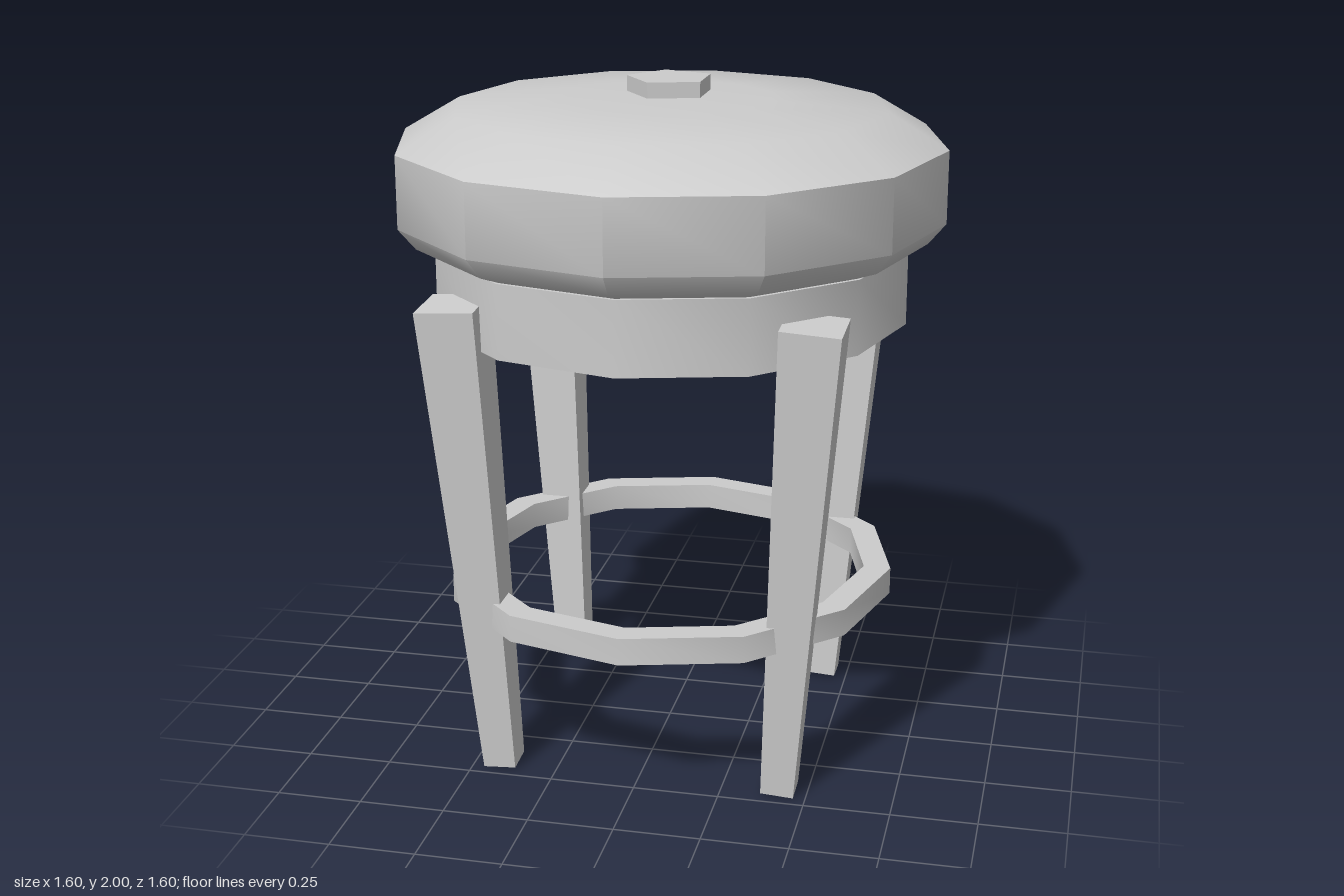
import * as THREE from 'three';
import { toCreasedNormals } from 'three/addons/utils/BufferGeometryUtils.js';

const SIDES = 12;
const CREASE = 0.8;

export function createModel() {
  const model = new THREE.Group();
  model.name = 'stool';

  const grey = new THREE.MeshStandardMaterial({ color: 0xcccccc });
  grey.name = 'light grey';

  const add = (name, geometry) => {
    const mesh = new THREE.Mesh(geometry, grey);
    mesh.name = name;
    model.add(mesh);
    return mesh;
  };

  // Twelve-sided turned part from [radius, height] points
  const turned = (points) => toCreasedNormals(
    new THREE.LatheGeometry(points.map(([r, y]) => new THREE.Vector2(r, y)), SIDES), CREASE);

  // Padded seat with a bevelled, slightly domed top
  add('cushion', turned([
    [0, 1.52], [0.67, 1.52], [0.75, 1.55], [0.8, 1.61],
    [0.8, 1.82], [0.63, 1.92], [0.3, 1.943], [0, 1.945],
  ]));

  // Drum below the cushion
  add('seatFrame', turned([[0, 1.31], [0.695, 1.31], [0.695, 1.525], [0, 1.525]]));

  // Five-sided button on top
  const button = new THREE.CylinderGeometry(0.127, 0.127, 0.045, 5, 1, false, Math.PI * 1.5);
  add('button', toCreasedNormals(button, CREASE)).position.y = 1.9775;

  // Square-section foot ring
  add('footRing', turned([
    [0.595, 0.47], [0.675, 0.47], [0.675, 0.55], [0.595, 0.55], [0.595, 0.47],
  ]));

  // Tapered leg leaning outward on the diagonal, ends square to its axis
  const leg = new THREE.BoxGeometry(1, 1, 1);
  const p = leg.attributes.position;
  for (let i = 0; i < p.count; i++) {
    const sx = p.getX(i) * 2, sz = p.getZ(i) * 2, top = p.getY(i) > 0;
    const centre = top ? 0.505 : 0.417;
    const half = top ? 0.085 : 0.048;
    const y = top ? 1.435 : 0.006;
    p.setXYZ(i, centre + sx * half, y - (sx + sz) * half * 0.0625, centre + sz * half);
  }
  leg.computeVertexNormals();
  ['frontLeftLeg', 'backLeftLeg', 'backRightLeg', 'frontRightLeg'].forEach((name, i) => {
    add(name, leg).rotation.y = i * Math.PI / 2;
  });

  return model;
}
